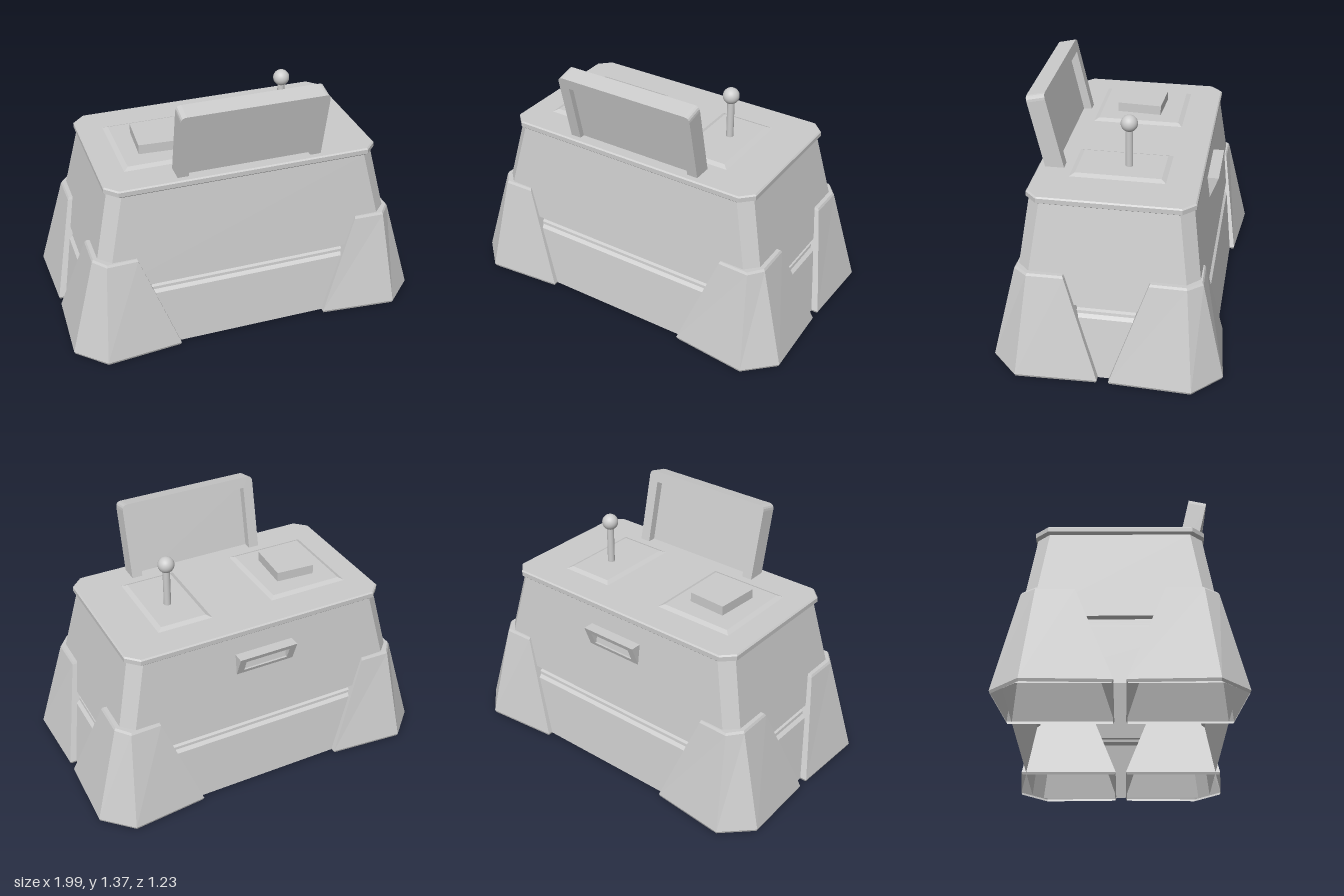
import * as THREE from 'three';

const mat = new THREE.MeshStandardMaterial({ color: 0xcccccc, flatShading: true, side: THREE.DoubleSide });
const smooth = new THREE.MeshStandardMaterial({ color: 0xcccccc });

// Skin rings of [x, y, z] points, ordered counter-clockwise seen from above, lowest ring first
function loft(rings, capTop = true) {
  const pos = [];
  const n = rings[0].length;
  for (let k = 0; k < rings.length - 1; k++) {
    for (let i = 0; i < n; i++) {
      const j = (i + 1) % n;
      const a = rings[k][i], b = rings[k][j], c = rings[k + 1][j], d = rings[k + 1][i];
      pos.push(...a, ...b, ...c, ...a, ...c, ...d);
    }
  }
  if (capTop) {
    const top = rings[rings.length - 1];
    const mid = [0, 1, 2].map((q) => top.reduce((s, p) => s + p[q], 0) / n);
    for (let i = 0; i < n; i++) pos.push(...mid, ...top[i], ...top[(i + 1) % n]);
  }
  const g = new THREE.BufferGeometry();
  g.setAttribute('position', new THREE.Float32BufferAttribute(pos, 3));
  g.computeVertexNormals();
  return g;
}

// Rectangle with cut corners at height y
function octagon(hx, hz, c, y) {
  return [
    [hx, y, hz - c], [hx, y, -hz + c], [hx - c, y, -hz], [-hx + c, y, -hz],
    [-hx, y, -hz + c], [-hx, y, hz - c], [-hx + c, y, hz], [hx - c, y, hz],
  ];
}

function rect(x0, x1, z0, z1, y) {
  return [[x1, y, z1], [x1, y, z0], [x0, y, z0], [x0, y, z1]];
}

function add(parent, name, geometry, material = mat) {
  const m = new THREE.Mesh(geometry, material);
  m.name = name;
  parent.add(m);
  return m;
}

export function createModel() {
  const model = new THREE.Group();
  model.name = 'controlConsole';

  // Hollow tapered body, with a stepped groove and a lip round the top
  const hx = (y) => 0.945 - 0.222 * y;
  const hz = (y) => 0.55 - 0.137 * y;
  const body = [
    [0.01, 0], [0.33, 0], [0.345, 0.016], [0.36, 0.016], [0.367, 0.03], [0.39, 0.03], [0.395, 0], [0.915, 0],
  ].map(([y, inset]) => octagon(hx(y) - inset, hz(y) - inset, 0.065, y));
  body.push(
    octagon(0.757, 0.436, 0.065, 0.925),
    octagon(0.757, 0.436, 0.065, 0.95),
    octagon(0.75, 0.429, 0.062, 0.957),
  );
  add(model, 'body', loft(body));

  // Four corner feet: open-bottomed tapered shells wrapping the body corners
  const footLow = [[0.42, 0.03], [0.42, 0.575], [0.84, 0.615], [0.995, 0.465], [0.98, 0.03]];
  const footHigh = [[0.62, 0.22], [0.62, 0.487], [0.79, 0.492], [0.852, 0.415], [0.85, 0.22]];
  const feet = new THREE.Group();
  feet.name = 'feet';
  model.add(feet);
  for (const sx of [1, -1]) {
    for (const sz of [1, -1]) {
      const ring = (pts, y, s) => {
        const r = pts.map(([x, z]) => [sx * (0.7 + (x - 0.7) * s), y, sz * (0.34 + (z - 0.34) * s)]);
        return sx * sz > 0 ? r : r.reverse();
      };
      add(feet, 'foot', loft([
        ring(footLow, 0, 0.98), ring(footLow, 0.014, 1),
        ring(footHigh, 0.545, 1), ring(footHigh, 0.557, 0.95),
      ]));
    }
  }

  // Low raised plates on the top
  for (const [name, x0, x1] of [['buttonPlate', -0.6, -0.17], ['leverPlate', 0.22, 0.5]]) {
    add(model, name, loft([
      rect(x0 - 0.02, x1 + 0.02, -0.26, 0.255, 0.955),
      rect(x0 + 0.01, x1 - 0.01, -0.23, 0.225, 0.969),
    ]));
  }

  // Square button
  const button = add(model, 'button', new THREE.BoxGeometry(0.22, 0.07, 0.25));
  button.position.set(-0.385, 0.988, 0);
  button.rotation.y = -0.06;

  // Lever with ball knob
  const lever = new THREE.Group();
  lever.name = 'lever';
  lever.position.set(0.368, 0, -0.042);
  model.add(lever);
  add(lever, 'leverRod', new THREE.CylinderGeometry(0.02, 0.02, 0.24, 20), smooth).position.y = 1.075;
  add(lever, 'leverKnob', new THREE.SphereGeometry(0.045, 28, 18), smooth).position.y = 1.214;

  // Tilted screen: an arched frame with a thin recessed panel
  const screen = new THREE.Group();
  screen.name = 'screen';
  screen.position.set(0.03, 0.94, 0.343);
  screen.rotation.x = 0.222;
  model.add(screen);
  const w = 0.4, h = 0.43, t = 0.06, r = 0.03;
  const arch = new THREE.Shape();
  arch.moveTo(-w, -0.03);
  arch.lineTo(-w + t, -0.03);
  arch.lineTo(-w + t, h - t);
  arch.lineTo(w - t, h - t);
  arch.lineTo(w - t, -0.03);
  arch.lineTo(w, -0.03);
  arch.lineTo(w, h - r);
  arch.quadraticCurveTo(w, h, w - r, h);
  arch.lineTo(-w + r, h);
  arch.quadraticCurveTo(-w, h, -w, h - r);
  const frame = new THREE.ExtrudeGeometry(arch, { depth: 0.1, bevelEnabled: false, curveSegments: 4 });
  frame.translate(0, 0, -0.05);
  add(screen, 'screenFrame', frame);
  const panel = new THREE.BoxGeometry(2 * (w - t) + 0.01, h - t + 0.04, 0.025);
  panel.translate(0, (h - t) / 2 - 0.01, 0.008);
  add(screen, 'screenPanel', panel);

  // Framed pull handle on the back, leaning outwards at the top
  const plate = new THREE.Shape();
  plate.moveTo(-0.17, -0.062);
  plate.lineTo(0.17, -0.062);
  plate.lineTo(0.17, 0.062);
  plate.lineTo(-0.17, 0.062);
  const hole = new THREE.Path();
  hole.moveTo(-0.13, -0.035);
  hole.lineTo(-0.13, 0.035);
  hole.lineTo(0.13, 0.035);
  hole.lineTo(0.13, -0.035);
  plate.holes.push(hole);
  const handle = new THREE.ExtrudeGeometry(plate, { depth: 0.08, bevelEnabled: false });
  const p = handle.attributes.position;
  for (let i = 0; i < p.count; i++) p.setZ(i, p.getZ(i) - 0.38 * p.getY(i));
  handle.computeVertexNormals();
  add(model, 'handle', handle).position.set(-0.01, 0.755, -0.476);

  return model;
}
